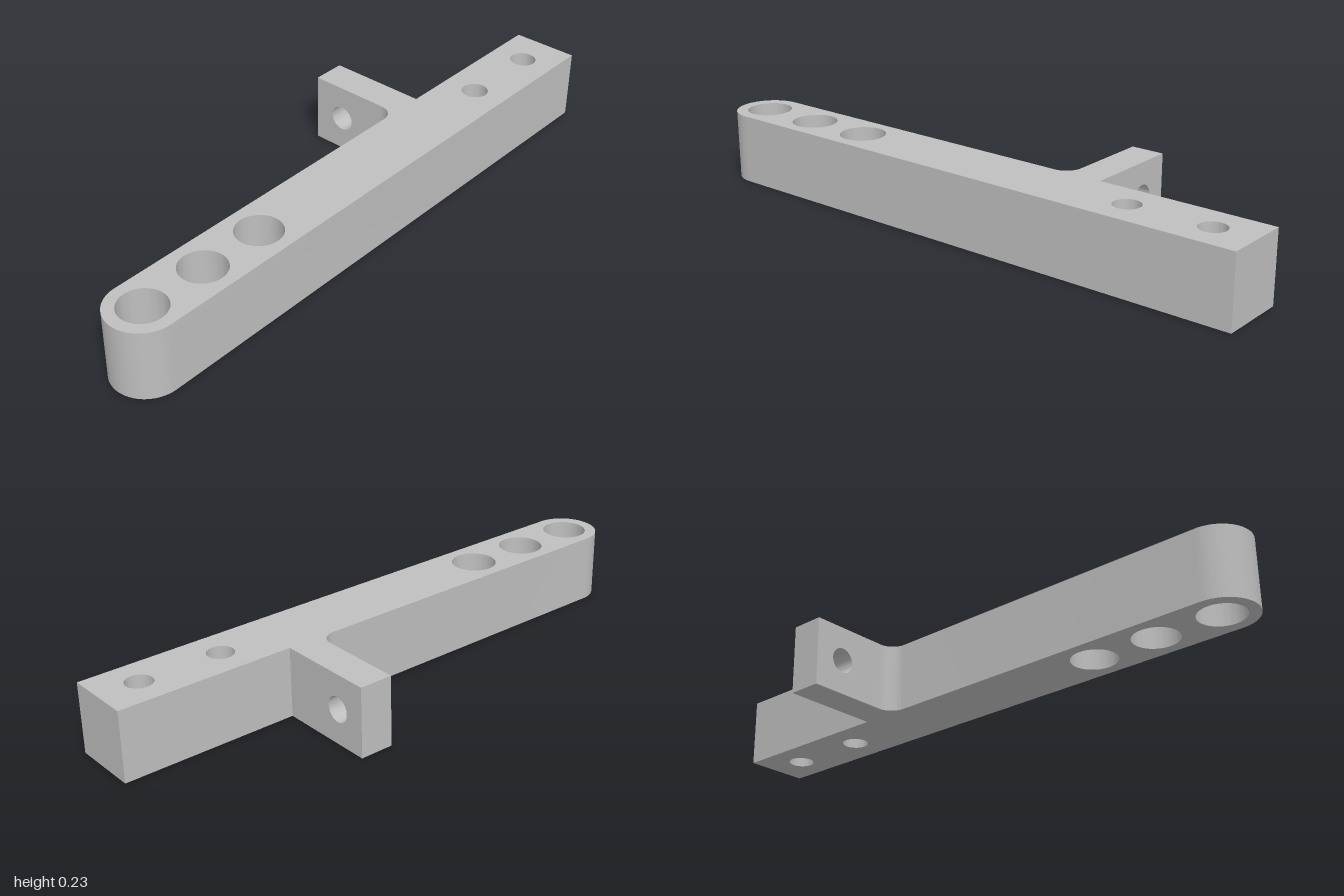
import * as THREE from 'three';
import { toCreasedNormals } from 'three/addons/utils/BufferGeometryUtils.js';

const HEIGHT = 0.231;
const BAR_X = 0.166, BAR_R = 0.111;      // bar centre line and half width
const LEFT = BAR_X - BAR_R, RIGHT = BAR_X + BAR_R;
const TAB_BACK = -0.417, TAB_FRONT = -0.306, TAB_END = -0.277;
const FILLET = 0.055;

function addHole(shape, x, y, r) {
  const hole = new THREE.Path();
  hole.absarc(x, y, r, 0, Math.PI * 2, true);
  shape.holes.push(hole);
}

function extrude(shape, depth) {
  return new THREE.ExtrudeGeometry(shape, { depth, bevelEnabled: false, curveSegments: 32 });
}

export function createModel() {
  const group = new THREE.Group();
  const grey = new THREE.MeshStandardMaterial({ color: 0xbfbfbf });
  grey.name = 'plain grey';

  function addPart(name, geometry) {
    const mesh = new THREE.Mesh(toCreasedNormals(geometry, 0.5), grey);
    mesh.name = name;
    group.add(mesh);
  }

  // Bar with rounded front end, and the filleted root of the side tab (shape y is -z)
  const bar = new THREE.Shape();
  bar.absarc(BAR_X, BAR_R - 1, BAR_R, Math.PI, Math.PI * 2, false);
  bar.lineTo(RIGHT, 1);
  bar.lineTo(LEFT, 1);
  bar.lineTo(LEFT, -TAB_BACK);
  bar.lineTo(LEFT - FILLET, -TAB_BACK);
  bar.lineTo(LEFT - FILLET, -TAB_FRONT);
  bar.absarc(LEFT - FILLET, -TAB_FRONT - FILLET, FILLET, Math.PI / 2, 0, true);
  bar.closePath();
  for (const z of [0.443, 0.666, 0.889]) addHole(bar, BAR_X, -z, 0.074);
  for (const z of [-0.865, -0.588]) addHole(bar, BAR_X, -z, 0.043);
  addPart('bar', extrude(bar, HEIGHT).rotateX(-Math.PI / 2));

  // Side tab with a cross hole
  const tab = new THREE.Shape();
  tab.moveTo(TAB_END, 0);
  tab.lineTo(LEFT - FILLET, 0);
  tab.lineTo(LEFT - FILLET, HEIGHT);
  tab.lineTo(TAB_END, HEIGHT);
  tab.closePath();
  addHole(tab, -0.168, HEIGHT / 2, 0.042);
  addPart('sideTab', extrude(tab, TAB_FRONT - TAB_BACK).translate(0, 0, TAB_BACK));

  return group;
}
